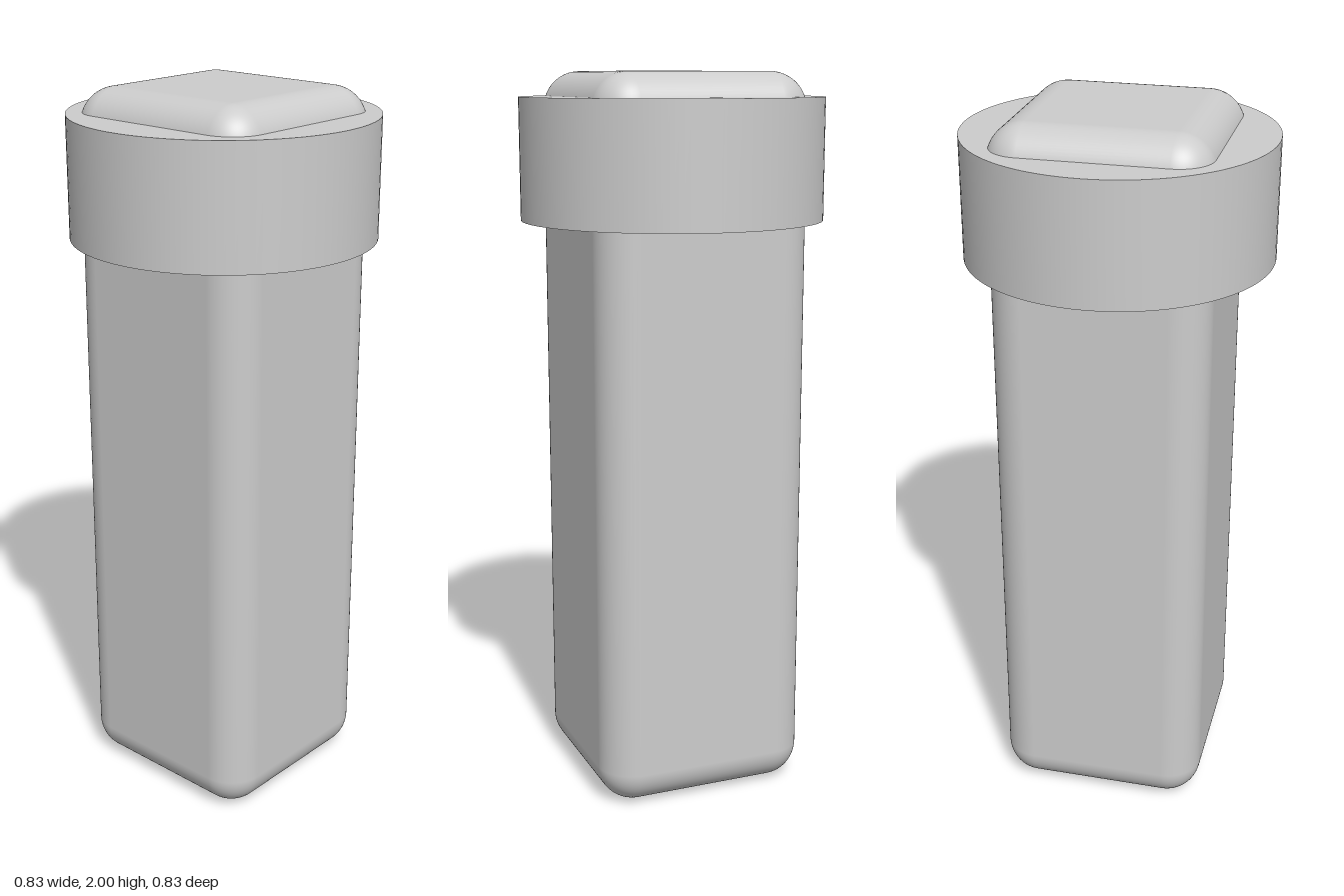
import * as THREE from 'three';
import { RoundedBoxGeometry } from 'three/addons/geometries/RoundedBoxGeometry.js';

export function createModel() {
  const model = new THREE.Group();
  const grey = new THREE.MeshStandardMaterial({ color: 0xcccccc });
  grey.name = 'light grey';

  const add = (name, geometry, y) => {
    const mesh = new THREE.Mesh(geometry, grey);
    mesh.name = name;
    mesh.position.y = y;
    model.add(mesh);
  };

  // Tall post with rounded edges
  add('post', new RoundedBoxGeometry(0.6, 2, 0.585, 8, 0.1), 1);

  // Round collar near the top
  const bottom = 1.603, top = 1.933;
  add('collar', new THREE.CylinderGeometry(0.416, 0.416, top - bottom, 96), (top + bottom) / 2);

  return model;
}
